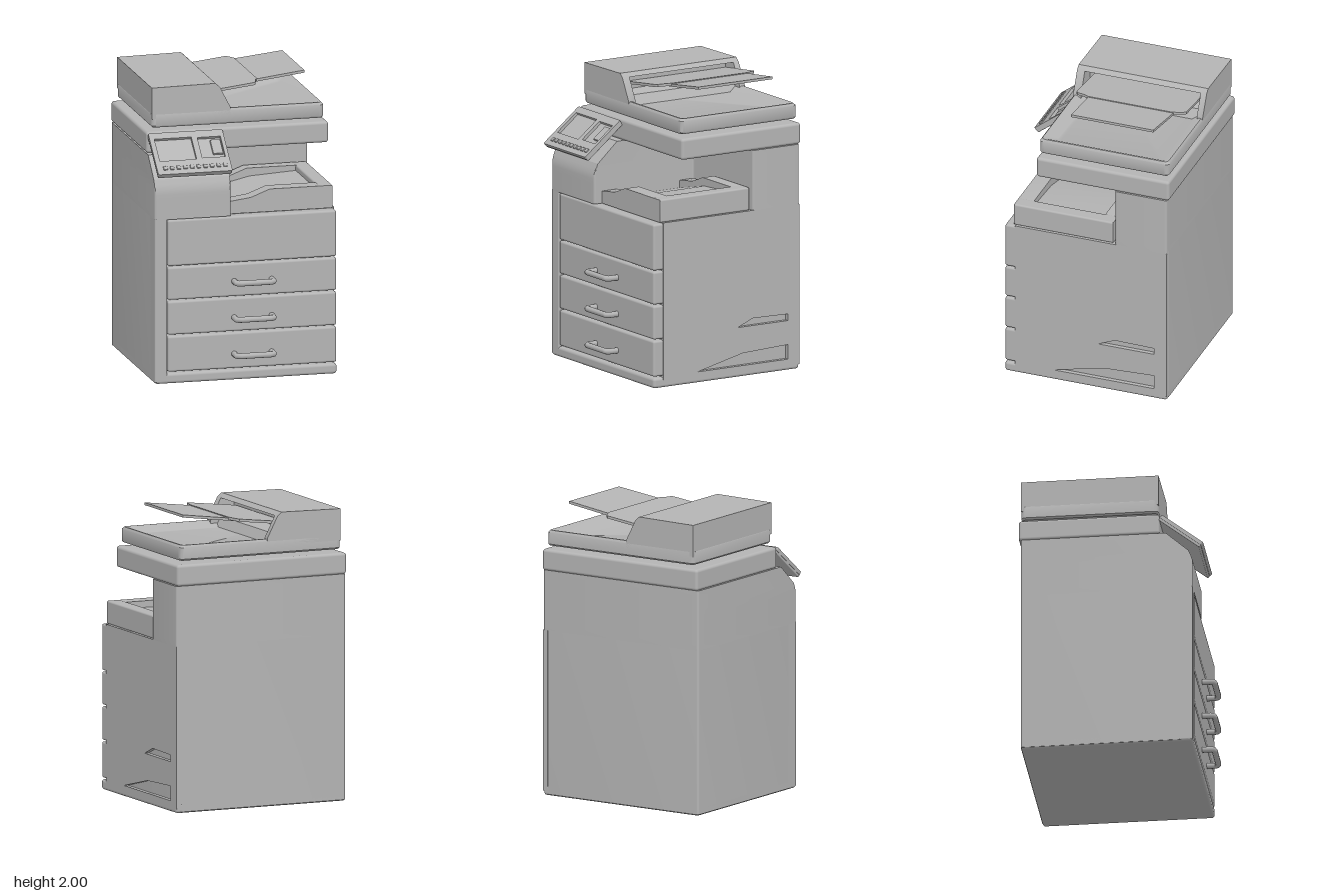
import * as THREE from 'three';
import { toCreasedNormals } from 'three/addons/utils/BufferGeometryUtils.js';
import { RoundedBoxGeometry } from 'three/addons/geometries/RoundedBoxGeometry.js';

const grey = new THREE.MeshStandardMaterial({ color: 0xb4b4b4 });
grey.name = 'machine grey';

function add(parent, name, geometry) {
  const mesh = new THREE.Mesh(geometry, grey);
  mesh.name = name;
  parent.add(mesh);
  return mesh;
}

// Box given by its limits, with rounded edges
function block(parent, name, [x0, x1], [y0, y1], [z0, z1], r = 0.01) {
  const g = new RoundedBoxGeometry(x1 - x0, y1 - y0, z1 - z0, 3, r);
  g.translate((x0 + x1) / 2, (y0 + y1) / 2, (z0 + z1) / 2);
  return add(parent, name, g);
}

// Polygon with softened corners
function polygon(points, r = 0, Type = THREE.Shape) {
  const shape = new Type();
  if (!r) return shape.setFromPoints(points.map(([x, y]) => new THREE.Vector2(x, y)));
  const v = points.map(([x, y]) => new THREE.Vector2(x, y));
  v.forEach((p, i) => {
    const step = (q) => p.clone().add(q.clone().sub(p).setLength(r));
    const a = step(v[(i + v.length - 1) % v.length]);
    const b = step(v[(i + 1) % v.length]);
    if (i) shape.lineTo(a.x, a.y); else shape.moveTo(a.x, a.y);
    shape.quadraticCurveTo(p.x, p.y, b.x, b.y);
  });
  shape.closePath();
  return shape;
}

const rect = (x0, x1, y0, y1) => [[x0, y0], [x1, y0], [x1, y1], [x0, y1]];

function extrude(shape, depth, steps = 1) {
  return new THREE.ExtrudeGeometry(shape, { depth, steps, bevelEnabled: false, curveSegments: 5 });
}

// Floor plan of [x, z] points raised from y0 to y1
function plan(points, y0, y1, r = 0, steps = 1) {
  const g = extrude(polygon(points.map(([x, z]) => [x, -z]), r), y1 - y0, steps);
  return g.rotateX(-Math.PI / 2).translate(0, y0, 0);
}

// Front outline of [x, y] points running from z0 to z1
const front = (points, z0, z1, r = 0) =>
  toCreasedNormals(extrude(polygon(points, r), z1 - z0).translate(0, 0, z0), 0.6);

// Skin over rounded rectangular loops [x0, x1, z0, z1, y, r], listed from the bottom upward
function loft(loops) {
  const positions = [], index = [];
  let n = 0;
  for (const [x0, x1, z0, z1, y, r] of loops) {
    const pts = polygon(rect(x0, x1, -z1, -z0), r).getPoints(4).slice(0, -1);
    n = pts.length;
    pts.forEach((p) => positions.push(p.x, y, -p.y));
  }
  const last = (loops.length - 1) * n;
  for (let k = 0; k < last; k += n) {
    for (let i = 0; i < n; i++) {
      const j = (i + 1) % n;
      index.push(k + i, k + j, k + n + j, k + i, k + n + j, k + n + i);
    }
  }
  for (let i = 1; i < n - 1; i++) {
    index.push(0, i + 1, i, last, last + i, last + i + 1);
  }
  const g = new THREE.BufferGeometry();
  g.setAttribute('position', new THREE.Float32BufferAttribute(positions, 3));
  g.setIndex(index);
  return toCreasedNormals(g, 0.7);
}

function cabinet(model) {
  const body = new THREE.Group();
  body.name = 'cabinet';
  model.add(body);
  add(body, 'lowerBody', toCreasedNormals(
    plan([[-0.63, -0.62], [0.6, -0.62], [0.6, 0.465], [-0.63, 0.465]], 0.01, 1.13, 0.015), 0.6));
  block(body, 'base', [-0.63, 0.63], [0, 0.07], [-0.62, 0.54], 0.02);
  block(body, 'leftPost', [-0.63, -0.545], [0.01, 1.14], [0.4, 0.54], 0.008);

  // Right side panel with two grip recesses
  const side = polygon(rect(-0.465, 0.62, 0.03, 1.13));
  side.holes.push(
    polygon([[-0.19, 0.075], [0.17, 0.16], [0.53, 0.175], [0.53, 0.075]], 0, THREE.Path),
    polygon([[0.13, 0.34], [0.25, 0.39], [0.53, 0.385], [0.53, 0.34]], 0, THREE.Path));
  add(body, 'rightSidePanel', extrude(side, 0.035).rotateY(Math.PI / 2).translate(0.595, 0, 0));

  // L-shaped upper body: the front slopes back near the top
  const upper = plan([[-0.63, -0.62], [0.63, -0.62], [0.63, -0.25], [-0.105, -0.25],
    [-0.105, 0.54], [-0.63, 0.54]], 1.13, 1.54, 0.015, 12);
  const p = upper.attributes.position;
  for (let i = 0; i < p.count; i++) {
    const y = p.getY(i);
    const limit = Math.min(0.54, 0.54 - (y - 1.33) * 0.35, 0.515 - (y - 1.4) * 1.12);
    p.setZ(i, Math.min(p.getZ(i), limit));
  }
  add(body, 'upperBody', toCreasedNormals(upper, 0.4));
}

function drawers(model) {
  [[0.08, 0.325], [0.335, 0.565], [0.575, 0.8], [0.808, 1.125]].forEach((y, i) => {
    block(model, 'drawer' + (i + 1), [-0.54, 0.627], y, [0.44, 0.54], 0.015);
  });
  // Bar handles on the lower three drawers
  for (const y of [0.18, 0.43, 0.68]) {
    const path = new THREE.CurvePath();
    const pts = [[-0.082, 0.535], [-0.082, 0.605], [-0.065, 0.62], [0.16, 0.62], [0.177, 0.605],
      [0.177, 0.535]].map(([x, z]) => new THREE.Vector3(x, y, z));
    for (let i = 1; i < pts.length; i++) path.add(new THREE.LineCurve3(pts[i - 1], pts[i]));
    add(model, 'drawerHandle', new THREE.TubeGeometry(path, 40, 0.02, 10));
  }
}

function outputTray(model) {
  const tray = new THREE.Group();
  tray.name = 'outputTray';
  model.add(tray);
  const rail = [[-0.104, 1.13], [0.615, 1.13], [0.615, 1.285], [0.18, 1.285], [0.05, 1.235], [-0.104, 1.215]];
  add(tray, 'frontRail', front(rail, 0.37, 0.48, 0.012));
  add(tray, 'backRail', front(rail, -0.23, -0.14, 0.012));
  block(tray, 'endRail', [0.52, 0.617], [1.13, 1.287], [-0.23, 0.48], 0.012);
  add(tray, 'paperFloor', front([[-0.104, 1.13], [0.54, 1.13], [0.54, 1.25], [0.2, 1.23], [-0.104, 1.16]], -0.2, 0.4));
}

function scanner(model) {
  block(model, 'scannerBase', [-0.63, 0.63], [1.54, 1.685], [-0.635, 0.315], 0.02);
  // Lid with a raised rim around a shallow recess
  add(model, 'scannerLid', loft([
    [-0.58, 0.59, -0.61, 0.295, 1.71, 0.02],
    [-0.592, 0.6, -0.622, 0.305, 1.722, 0.03],
    [-0.592, 0.6, -0.622, 0.305, 1.8, 0.03],
    [-0.58, 0.588, -0.61, 0.293, 1.815, 0.03],
    [-0.56, 0.575, -0.595, 0.28, 1.815, 0.03],
    [-0.5, 0.5, -0.53, 0.215, 1.775, 0.03],
  ]));
}

function documentFeeder(model) {
  const feeder = new THREE.Group();
  feeder.name = 'documentFeeder';
  model.add(feeder);
  // Hollow middle section between two sloping cheeks
  add(feeder, 'feederCover', front([[-0.59, 1.77], [-0.59, 1.985], [-0.15, 1.992], [-0.12, 1.965],
    [-0.22, 1.955], [-0.22, 1.86], [-0.12, 1.84], [-0.08, 1.77]], -0.58, 0.25));
  const cheek = [[-0.59, 1.77], [-0.59, 1.985], [-0.15, 1.992], [-0.12, 1.965], [-0.045, 1.82], [-0.045, 1.77]];
  add(feeder, 'frontCheek', front(cheek, 0.25, 0.305));
  add(feeder, 'backCheek', front(cheek, -0.622, -0.58));

  // Input tray in two rising leaves
  const leaf = (name, points, height) => {
    const g = plan(points, 0, 0.018);
    const p = g.attributes.position;
    for (let i = 0; i < p.count; i++) p.setY(i, p.getY(i) + height(p.getX(i)));
    g.computeVertexNormals();
    add(feeder, name, g);
  };
  leaf('innerTray', [[-0.21, -0.575], [0.14, -0.575], [0.155, -0.56], [0.185, -0.495], [0.185, 0.11],
    [0.165, 0.15], [0.155, 0.2], [0.14, 0.21], [-0.21, 0.21]], (x) => 1.91 + (x + 0.11) * 0.12);
  leaf('outerTray', [[0.15, -0.5], [0.515, -0.48], [0.515, 0.11], [0.15, 0.11]],
    (x) => 1.935 + (x - 0.15) * 0.125);
}

function controlPanel(model) {
  const panel = new THREE.Group();
  panel.name = 'controlPanel';
  panel.position.set(-0.365, 1.57, 0.47);
  panel.rotation.x = -0.905;
  model.add(panel);
  // Local z = 0 is the panel face
  const face = polygon(rect(-0.258, 0.255, -0.178, 0.178), 0.012);
  face.holes.push(
    polygon(rect(-0.225, 0.03, -0.063, 0.127), 0, THREE.Path),
    polygon(rect(0.07, 0.23, -0.055, 0.12), 0, THREE.Path));
  add(panel, 'panelFrame', toCreasedNormals(extrude(face, 0.025).translate(0, 0, -0.025), 0.6));
  block(panel, 'panelBack', [-0.255, 0.252], [-0.175, 0.175], [-0.042, -0.02], 0.006);
  block(panel, 'keypad', [0.155, 0.225], [-0.02, 0.1], [-0.03, -0.006], 0.004);
  for (let i = 0; i < 10; i++) {
    const x = -0.2 + i * 0.046;
    block(panel, 'button', [x - 0.014, x + 0.014], [-0.142, -0.112], [-0.01, 0.008], 0.004);
  }
}

export function createModel() {
  const model = new THREE.Group();
  model.name = 'photocopier';
  cabinet(model);
  drawers(model);
  outputTray(model);
  scanner(model);
  documentFeeder(model);
  controlPanel(model);
  return model;
}
